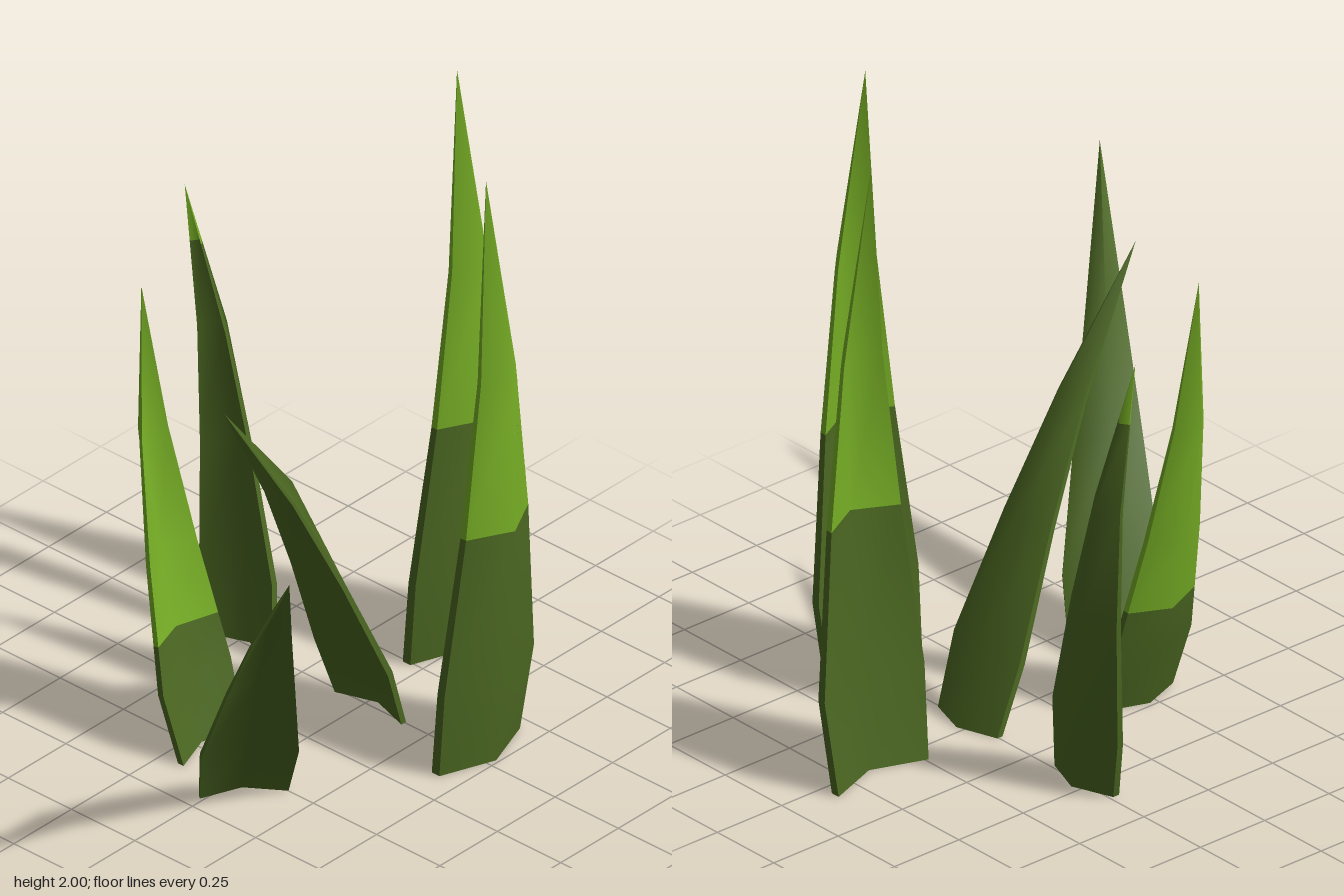
import * as THREE from 'three';

// Blade rings from root to tip: height, half width, crest z, edge z, thickness
const RINGS = [
  [0, 0.175, 0.095, 0, 0.03],
  [0.3, 0.194, 0.13, 0.04, 0.028],
  [0.83, 0.135, 0.17, 0.077, 0.022],
  [1.35, 0.075, 0.18, 0.09, 0.014],
  [2, 0, 0.055, 0.055, 0],
];

// Adds an interpolated ring where the colour changes
function ringsWithSplit(split) {
  const rings = RINGS.map((r) => r.slice());
  const k = rings.findIndex((r) => r[0] > split);
  if (k < 0) return rings;
  const a = rings[k - 1], b = rings[k];
  const t = (split - a[0]) / (b[0] - a[0]);
  if (t > 0.001) rings.splice(k, 0, a.map((v, i) => v + (b[i] - v) * t));
  return rings;
}

// Folded leaf with a V section: crest towards local +z, open side towards -z
function bladeGeometry(split, matrix) {
  const rings = ringsWithSplit(split);
  const sections = rings.map(([y, w, crest, edge, t], i) => {
    const points = {
      lf: [-w, y, edge + t], cf: [0, y, crest], rf: [w, y, edge + t],
      lb: [-w, y, edge], cb: [0, y, crest - t], rb: [w, y, edge],
    };
    for (const key in points) {
      const p = new THREE.Vector3(...points[key]).applyMatrix4(matrix);
      if (i === 0) p.y = 0; // the root is cut level with the ground
      points[key] = p;
    }
    return points;
  });

  const positions = [];
  const lower = [], upper = [];
  const add = (p) => positions.push(p.x, p.y, p.z) / 3 - 1;

  // Each sheet is smooth in itself, with sharp edges between sheets
  const sheets = [['lf', 'cf', 'rf'], ['rf', 'rb'], ['rb', 'cb', 'lb'], ['lb', 'lf']];
  for (const keys of sheets) {
    const grid = sections.map((s) => keys.map((key) => add(s[key])));
    for (let i = 0; i < grid.length - 1; i++) {
      const target = rings[i][0] >= split - 0.002 ? upper : lower;
      for (let j = 0; j < keys.length - 1; j++) {
        const a = grid[i][j], b = grid[i][j + 1], c = grid[i + 1][j + 1], d = grid[i + 1][j];
        target.push(a, b, c);
        if (i < grid.length - 2) target.push(a, c, d);
        else if (keys.length > 2) target.push(a, c, d);
      }
    }
  }

  // Root cap
  for (const keys of [['lf', 'lb', 'cb', 'cf'], ['cf', 'cb', 'rb', 'rf']]) {
    const [a, b, c, d] = keys.map((key) => add(sections[0][key]));
    lower.push(a, b, c, a, c, d);
  }

  const geometry = new THREE.BufferGeometry();
  geometry.setAttribute('position', new THREE.Float32BufferAttribute(positions, 3));
  geometry.setIndex([...lower, ...upper]);
  geometry.addGroup(0, lower.length, 0);
  if (upper.length) geometry.addGroup(lower.length, upper.length, 1);
  geometry.computeVertexNormals();
  return geometry;
}

export function createModel() {
  const darkGreen = new THREE.MeshStandardMaterial({ color: 0x4c6822 });
  darkGreen.name = 'darkGreen';
  const lightGreen = new THREE.MeshStandardMaterial({ color: 0x78b026 });
  lightGreen.name = 'lightGreen';

  // lean is the horizontal part of the blade's unit axis; split is the colour height before scaling
  const blades = [
    { name: 'frontBlade', at: [0.28, 0.395], yaw: 0, lean: [0, 0], scale: 1, split: 0.83 },
    { name: 'leftBlade', at: [0.665, -0.07], yaw: 0, lean: [0, 0], scale: 1, split: 0.83 },
    { name: 'backRightBlade', at: [-0.225, -0.165], yaw: Math.PI, lean: [0, -0.163], scale: 0.755, split: 0.5 },
    { name: 'backLeftBlade', at: [0.215, -0.47], yaw: Math.PI / 2, lean: [0, -0.165], scale: 0.755, split: 1.74 },
    { name: 'middleLeaningBlade', at: [0.235, 0.025], yaw: Math.PI / 2, lean: [-0.46, 0.015], scale: 0.75, split: 3 },
    { name: 'rightLeaningBlade', at: [-0.352, 0.07], yaw: 2.47, lean: [-0.355, 0.447], scale: 0.75, split: 3 },
  ];

  const group = new THREE.Group();
  group.name = 'grassTuft';
  const up = new THREE.Vector3(0, 1, 0);
  for (const { name, at, yaw, lean, scale, split } of blades) {
    const axis = new THREE.Vector3(lean[0], Math.sqrt(1 - lean[0] ** 2 - lean[1] ** 2), lean[1]);
    const turn = new THREE.Quaternion().setFromUnitVectors(up, axis)
      .multiply(new THREE.Quaternion().setFromAxisAngle(up, yaw));
    const matrix = new THREE.Matrix4().compose(
      new THREE.Vector3(at[0], 0, at[1]), turn, new THREE.Vector3(scale, scale, scale));
    const mesh = new THREE.Mesh(bladeGeometry(split, matrix), [darkGreen, lightGreen]);
    mesh.name = name;
    group.add(mesh);
  }
  return group;
}
